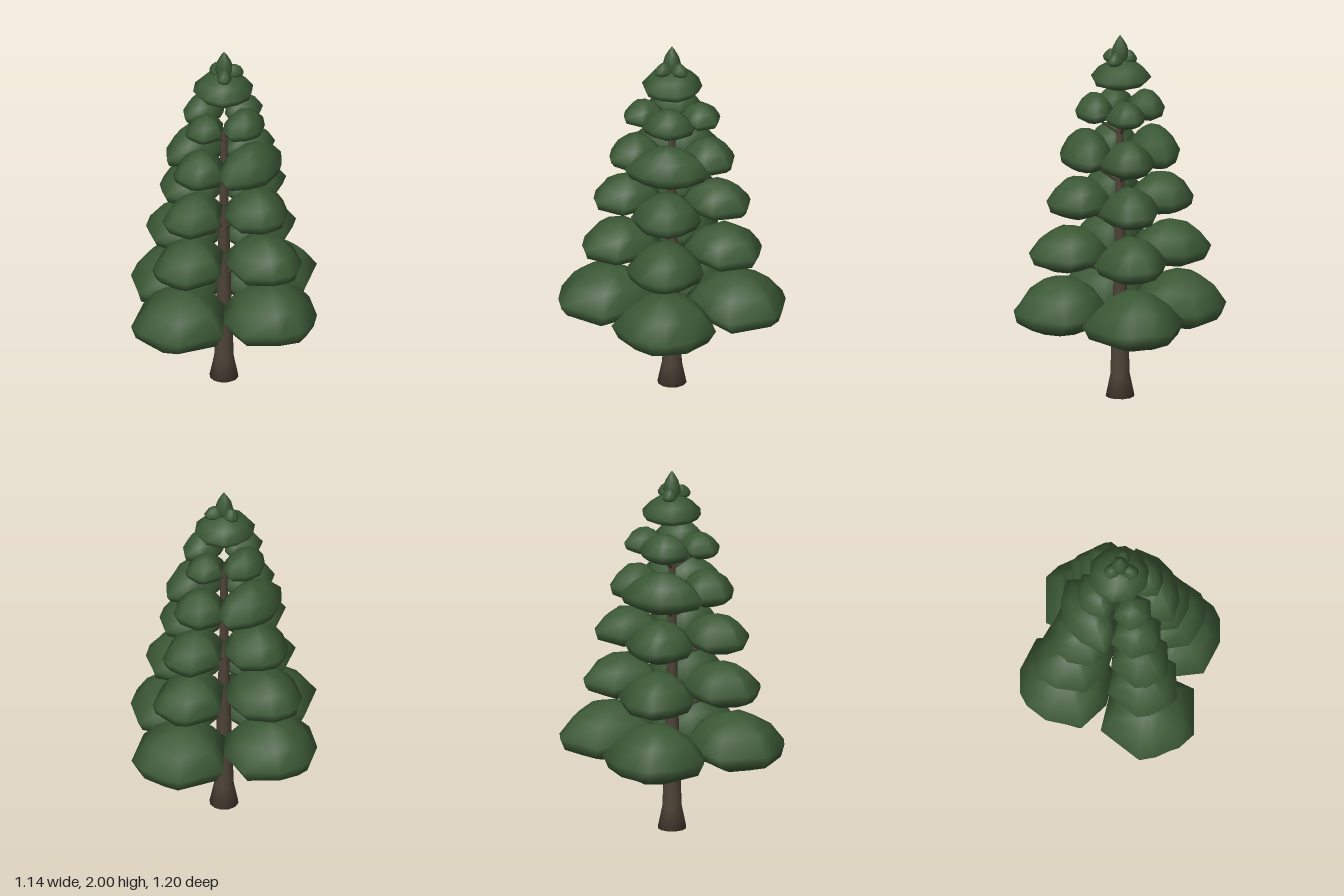
import * as THREE from 'three';

const needles = new THREE.MeshStandardMaterial({ color: 0x3b5835 });
needles.name = 'needle green';
const bark = new THREE.MeshStandardMaterial({ color: 0x4c4136 });
bark.name = 'bark brown';

// Pad cross-sections, bottom to top: [radius, height, outward shift], all relative
const RINGS = [
  [0.45, 0.01, 0.06], [0.86, 0.16, 0.05], [1.0, 0.38, 0],
  [0.72, 0.7, 0], [0.4, 0.91, 0],
];

// Half plan outlines from outer tip to inner end: [along, across], all relative
const SIDE_PLAN = [[1, 0.14], [0.77, 0.57], [0.15, 1], [-0.54, 0.79], [-1, 0.3]];
const FRONT_PLAN = [[1, 0.28], [0.89, 0.6], [0, 1], [-0.5, 0.62], [-1, 0.25]];
const ROUND_PLAN = [[1, 0.3], [0.65, 0.8], [0, 1], [-0.65, 0.8], [-1, 0.3]];

// Domed foliage pad running outward along +x from inner to outer
function padGeometry(plan, inner, outer, halfWidth, y0, y1, seed = 0) {
  const outline = [...plan, ...plan.map(([u, w]) => [u, -w]).reverse()];
  const N = outline.length, pos = [], idx = [];
  const cx = (inner + outer) / 2, hx = (outer - inner) / 2, h = y1 - y0;
  RINGS.forEach(([r, t, shift], j) => {
    outline.forEach(([u, w], i) => {
      const k = r + (j === 2 ? 0 : 0.03 * Math.sin(i * 2.4 + j * 1.7 + seed));
      pos.push(cx + hx * (u * k + shift), y0 + h * t, halfWidth * w * k);
    });
  });
  const low = pos.length / 3, high = low + 1, last = (RINGS.length - 1) * N;
  pos.push(cx + hx * 0.05, y0, 0, cx, y1, 0);
  for (let i = 0; i < N; i++) {
    const k = (i + 1) % N;
    for (let j = 0; j < RINGS.length - 1; j++) {
      const a = j * N + i, b = j * N + k;
      idx.push(a, a + N, b, b, a + N, b + N);
    }
    idx.push(low, i, k, high, last + k, last + i);
  }
  const g = new THREE.BufferGeometry();
  g.setAttribute('position', new THREE.Float32BufferAttribute(pos, 3));
  g.setIndex(idx);
  g.computeVertexNormals();
  return g;
}

function add(parent, name, geometry, material) {
  const mesh = new THREE.Mesh(geometry, material);
  mesh.name = name;
  parent.add(mesh);
  return mesh;
}

// Tiers: bottom, side top, front top, side reach, side half width,
// front reach, front half width, branch start
const TIERS = [
  [0.38, 0.68, 0.68, 0.57, 0.28, 0.6, 0.275, 0.31],
  [0.72, 0.96, 0.955, 0.49, 0.21, 0.475, 0.2, 0.64],
  [1.01, 1.23, 1.22, 0.395, 0.19, 0.415, 0.165, 0.93],
  [1.27, 1.49, 1.465, 0.32, 0.23, 0.33, 0.15, 1.19],
  [1.53, 1.69, 1.67, 0.24, 0.14, 0.255, 0.11, 1.46],
];

export function createModel() {
  const tree = new THREE.Group();
  tree.name = 'pineTree';

  // Flared trunk
  const profile = [[0, 0], [0.078, 0], [0.053, 0.12], [0.044, 0.38], [0.034, 0.7],
    [0.025, 1.1], [0.018, 1.5], [0, 1.5]].map(([x, y]) => new THREE.Vector2(x, y));
  add(tree, 'trunk', new THREE.LatheGeometry(profile, 12), bark);

  // Four pads and four bent branches on every tier
  TIERS.forEach(([y0, sideTop, frontTop, sideReach, sideHalf, frontReach, frontHalf, start], t) => {
    const tier = new THREE.Group();
    tier.name = `tier${t + 1}`;
    tree.add(tier);
    for (let q = 0; q < 4; q++) {
      const side = q % 2 === 0;
      const reach = side ? sideReach : frontReach;
      const inner = 0.015 + 0.1 * reach;
      const arm = new THREE.Group();
      arm.name = ['leftBough', 'backBough', 'rightBough', 'frontBough'][q];
      arm.rotation.y = (q * Math.PI) / 2;
      tier.add(arm);
      add(arm, 'foliagePad', side
        ? padGeometry(SIDE_PLAN, inner, reach, sideHalf, y0, sideTop, t * 2 + q)
        : padGeometry(FRONT_PLAN, inner, reach, frontHalf, y0, frontTop, t * 2 + q), needles);
      const path = new THREE.CurvePath();
      const points = [[0.015, start], [0.1, start + 0.065], [0.1 + reach * 0.15, y0 + 0.015],
        [0.1 + reach * 0.3, y0 + 0.03]].map(([x, y]) => new THREE.Vector3(x, y, 0));
      for (let i = 0; i < 3; i++) path.add(new THREE.LineCurve3(points[i], points[i + 1]));
      add(arm, 'branch', new THREE.TubeGeometry(path, 9, 0.012 - t * 0.0013, 6), bark);
    }
  });

  // Crown cap
  add(tree, 'crownCap', padGeometry(ROUND_PLAN, -0.16, 0.148, 0.162, 1.71, 1.87, 3), needles);

  // Pointed tip
  const tip = [[0, 1.84], [0.035, 1.85], [0.05, 1.89], [0.038, 1.94], [0.018, 1.975], [0, 2]]
    .map(([x, y]) => new THREE.Vector2(x, y));
  add(tree, 'crownTip', new THREE.LatheGeometry(tip, 8), needles);

  // Small lobes spreading around the tip
  [Math.PI, 0.9, -0.85].forEach((angle, i) => {
    const lobe = padGeometry(ROUND_PLAN, 0, i ? 0.105 : 0.09, 0.04, 1.84, 1.915, i);
    add(tree, 'crownLobe', lobe, needles).rotation.y = angle;
  });

  return tree;
}
